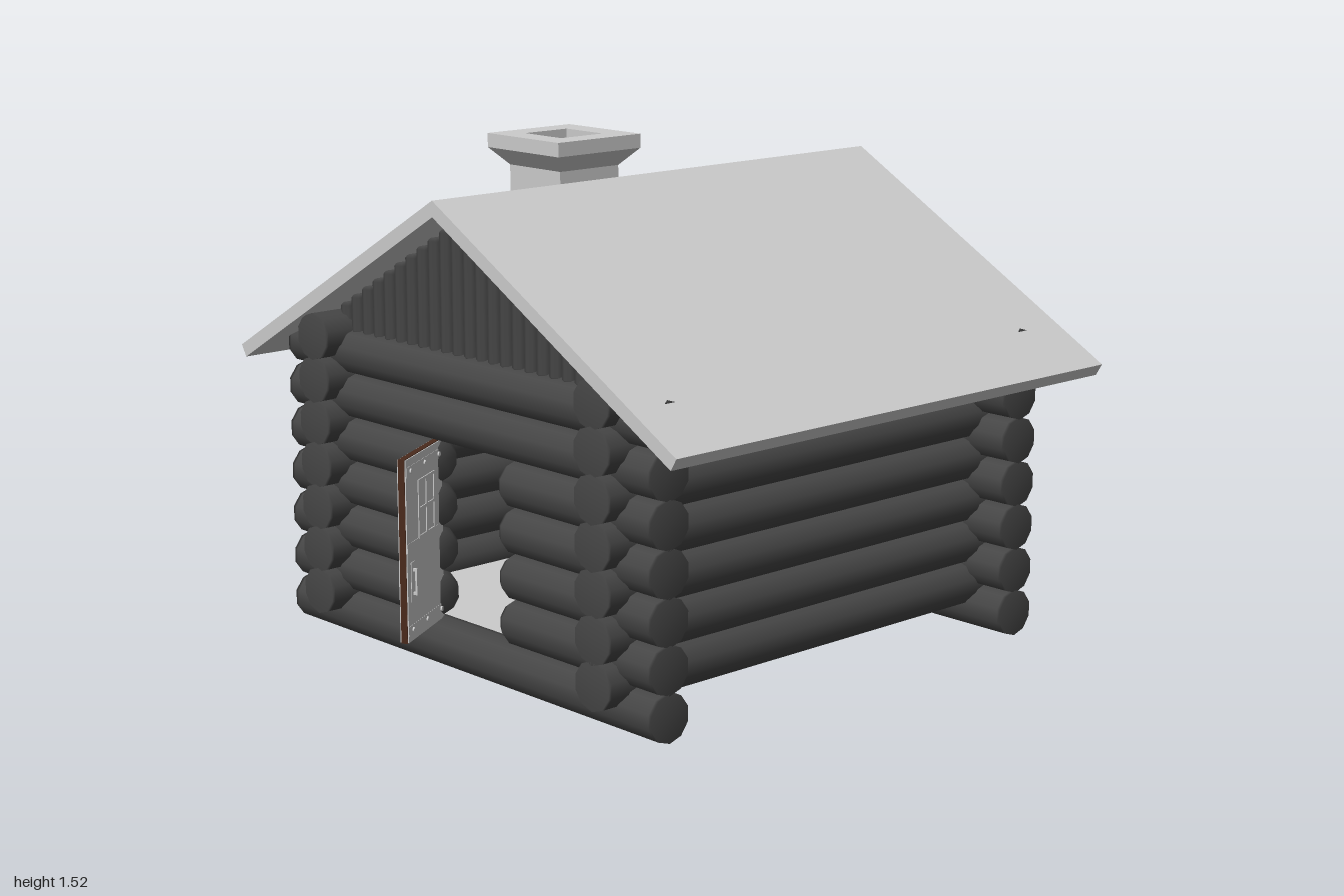
import * as THREE from 'three';

const grey = new THREE.MeshStandardMaterial({ color: 0xcccccc });
const greyFlat = new THREE.MeshStandardMaterial({ color: 0xcccccc, flatShading: true });
const logMat = new THREE.MeshStandardMaterial({ color: 0x464646 });
const brown = new THREE.MeshStandardMaterial({ color: 0x4a2a1c });

const R = 0.073, STEP = 0.1385, CX = -0.013;
const FRONT_Z = 0.742, BACK_Z = -0.732, LEFT_X = 0.636, RIGHT_X = -0.65;
const RIDGE_X = -0.02, RIDGE_Y = 1.445, SLOPE = 0.573;

function add(parent, name, geometry, material, x = 0, y = 0, z = 0) {
  const mesh = new THREE.Mesh(geometry, material);
  mesh.name = name;
  mesh.position.set(x, y, z);
  parent.add(mesh);
  return mesh;
}

function box(parent, name, w, h, d, material, x, y, z) {
  return add(parent, name, new THREE.BoxGeometry(w, h, d), material, x, y, z);
}

// Ten-sided log along y; either end can be rounded over
function logGeometry(length, r = R, sides = 10, roundStart = 0, roundEnd = 0) {
  const h = length / 2, e = 0.012;
  const points = [
    [0, -h], [r * (roundStart ? 0.72 : 1), -h], [r, -h + (roundStart || e)],
    [r, h - (roundEnd || e)], [r * (roundEnd ? 0.72 : 1), h], [0, h],
  ].map(([x, y]) => new THREE.Vector2(x, y));
  return new THREE.LatheGeometry(points, sides);
}

// Horizontal log running across the house, from x0 to x1
function crossLog(parent, name, x0, x1, y, z, roundStart = 0, roundEnd = 0) {
  const g = logGeometry(x1 - x0, R, 10, roundStart, roundEnd);
  g.rotateY(Math.PI / 2 + Math.PI / 10 * 5).rotateZ(-Math.PI / 2);
  // a ridge of the log points straight up
  g.rotateX(Math.PI / 2);
  add(parent, name, g, logMat, (x0 + x1) / 2, y, z);
}

// Front or back wall with the door opening, and its gable of upright poles
function endWall(name, z) {
  const wall = new THREE.Group();
  wall.name = name;
  const x0 = CX - 0.835, x1 = CX + 0.835;
  for (let i = 0; i < 7; i++) {
    const y = R + i * STEP;
    if (i >= 1 && i <= 4) {
      crossLog(wall, 'shortLog', x0, -0.17, y, z, 0, 0.03);
      crossLog(wall, 'shortLog', 0.15, x1, y, z, 0.03, 0);
    } else crossLog(wall, 'longLog', x0, x1, y, z);
  }
  for (let i = -11; i <= 11; i++) {
    const x = RIDGE_X + i * 0.0545;
    const top = RIDGE_Y - 0.045 - Math.abs(x - RIDGE_X) * SLOPE;
    const bottom = 0.96;
    if (top - bottom > 0.05) {
      add(wall, 'gablePole', logGeometry(top - bottom, 0.0268, 8), logMat, x, (top + bottom) / 2, z);
    }
  }
  return wall;
}

// Side wall of logs running front to back
function sideWall(name, x) {
  const wall = new THREE.Group();
  wall.name = name;
  for (let i = 0; i < 7; i++) {
    const g = logGeometry(1.726);
    g.rotateX(Math.PI / 2);
    add(wall, 'sideLog', g, logMat, x, 0.148 + i * 0.1345, 0.003);
  }
  return wall;
}

// Plank door hinged at its local origin, detailed on both faces
function door(name, z, angle) {
  const d = new THREE.Group();
  d.name = name;
  const L = 0.285, H = 0.555;
  box(d, 'doorCore', L, H, 0.02, brown, L / 2, H / 2, 0);
  for (const s of [-1, 1]) {
    const face = s * 0.0115;
    box(d, 'doorFace', L - 0.004, H - 0.004, 0.004, grey, L / 2, H / 2, face);
    // window frame and cross bars
    for (const u of [0.07, 0.13, 0.19]) box(d, 'windowBar', 0.009, 0.17, 0.01, grey, u, 0.385, face);
    for (const v of [0.3, 0.385, 0.47]) box(d, 'windowBar', 0.129, 0.009, 0.01, grey, 0.13, v, face);
    // hinge straps with bolts
    for (const v of [0.035, 0.285, 0.515]) {
      box(d, 'strap', L - 0.01, 0.03, 0.006, grey, L / 2, v, face);
      if (v === 0.285) continue;
      for (const u of [0.03, 0.14, 0.25]) {
        const g = new THREE.CylinderGeometry(0.008, 0.008, 0.008, 8).rotateX(Math.PI / 2);
        add(d, 'bolt', g, grey, u, v, face + s * 0.004);
      }
    }
    // handle on its plate
    box(d, 'handlePlate', 0.028, 0.12, 0.006, grey, 0.245, 0.18, face + s * 0.001);
    box(d, 'handleGrip', 0.008, 0.08, 0.006, grey, 0.245, 0.18, face + s * 0.014);
    for (const v of [0.144, 0.216]) box(d, 'handlePost', 0.008, 0.008, 0.014, grey, 0.245, v, face + s * 0.008);
  }
  d.position.set(-0.197, 0.14, z);
  d.rotation.y = angle;
  return d;
}

// Bent roof slab extruded front to back
function roof() {
  const shape = new THREE.Shape();
  shape.moveTo(RIDGE_X, RIDGE_Y);
  shape.lineTo(-1, 0.882);
  shape.lineTo(-0.978, 0.846);
  shape.lineTo(RIDGE_X, RIDGE_Y - 0.048);
  shape.lineTo(0.978, 0.834);
  shape.lineTo(1, 0.87);
  shape.closePath();
  const g = new THREE.ExtrudeGeometry(shape, { depth: 1.785, bevelEnabled: false });
  g.translate(0, 0, -0.9);
  const mesh = new THREE.Mesh(g, grey);
  mesh.name = 'roof';
  return mesh;
}

// Square chimney: shaft, flare, rim and flue as one four-sided lathe
function chimney() {
  const k = Math.SQRT2;
  const profile = [
    [0.122, 1.0], [0.122, 1.42], [0.172, 1.475], [0.172, 1.52],
    [0.087, 1.52], [0.087, 1.2], [0, 1.2],
  ].map(([r, y]) => new THREE.Vector2(r * k, y));
  const g = new THREE.LatheGeometry(profile, 4, Math.PI / 4);
  const mesh = new THREE.Mesh(g, greyFlat);
  mesh.name = 'chimney';
  mesh.position.set(-0.48, 0, -0.011);
  return mesh;
}

export function createModel() {
  const cabin = new THREE.Group();
  cabin.name = 'logCabin';
  cabin.add(endWall('frontWall', FRONT_Z), endWall('backWall', BACK_Z));
  cabin.add(sideWall('leftWall', LEFT_X), sideWall('rightWall', RIGHT_X));
  cabin.add(door('frontDoor', FRONT_Z, -Math.PI / 3), door('backDoor', BACK_Z - 0.012, Math.PI / 3));
  box(cabin, 'floor', 1.28, 0.03, 1.47, grey, -0.007, 0.115, 0.005);
  cabin.add(roof(), chimney());
  return cabin;
}
